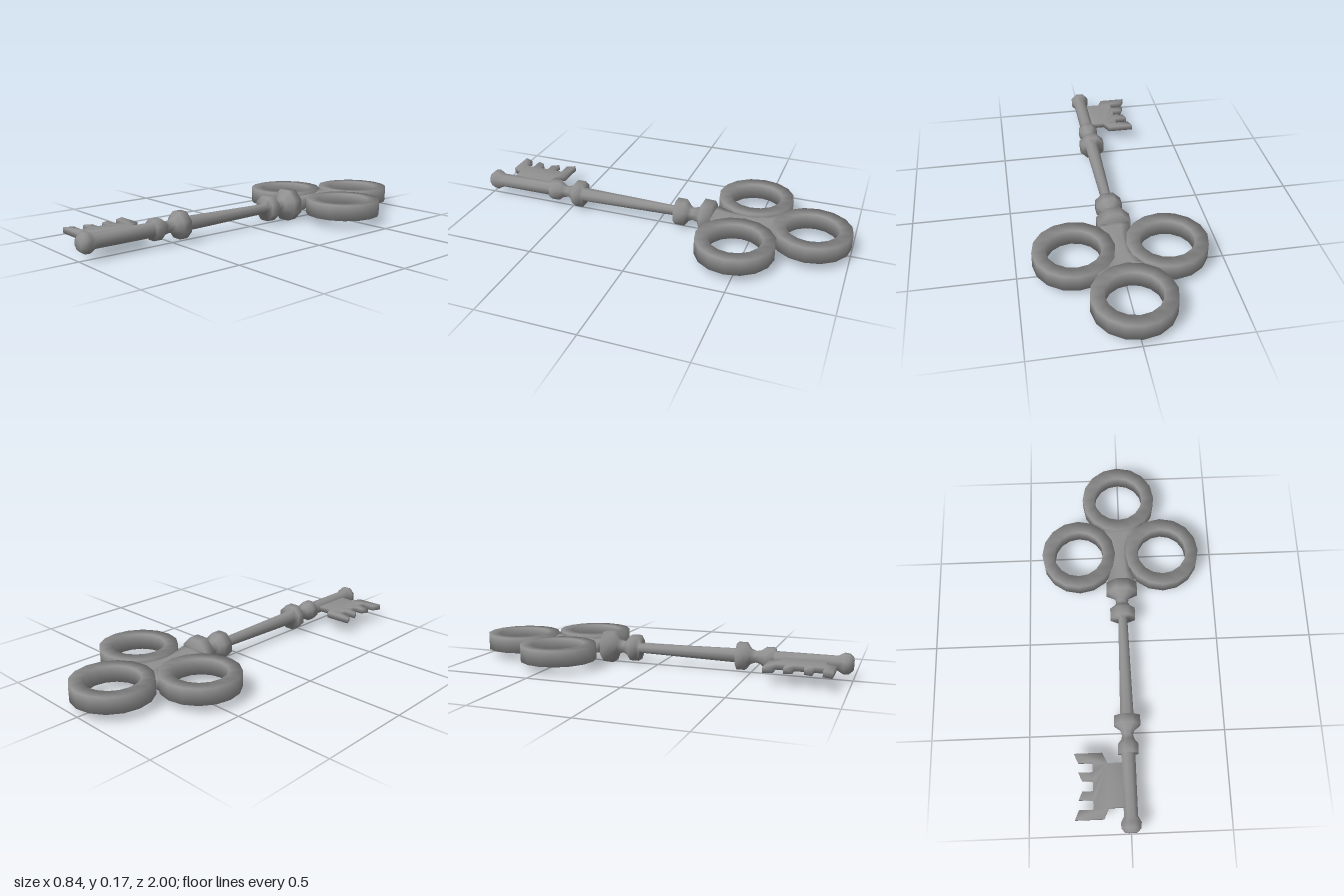
import * as THREE from 'three';
import { mergeVertices } from 'three/addons/utils/BufferGeometryUtils.js';

const AXIS_Y = 0.0825;
const material = new THREE.MeshStandardMaterial({ color: 0x909090 });

// Welds a geometry so its normals run smoothly across every edge
function smooth(source) {
  source.deleteAttribute('uv');
  source.deleteAttribute('normal');
  const geometry = mergeVertices(source, 1e-4);
  geometry.computeVertexNormals();
  return geometry;
}

function smoothLathe(points, sides, phase = 0) {
  return smooth(new THREE.LatheGeometry(points.map(p => new THREE.Vector2(...p)), sides, phase));
}

// Octagonal turning along z, flats facing up; profile is [half width, z]
function turned(profile) {
  const k = 1 / Math.cos(Math.PI / 8);
  return smoothLathe(profile.map(([r, z]) => [r * k, z]), 8, Math.PI / 8).rotateX(Math.PI / 2);
}

export function createModel() {
  const key = new THREE.Group();
  key.name = 'key';
  function add(name, geometry, x = 0, z = 0) {
    const mesh = new THREE.Mesh(geometry, material);
    mesh.name = name;
    mesh.position.set(x, AXIS_Y, z);
    key.add(mesh);
  }

  // Shaft with its collars, from the bow to the tip
  add('shaft', turned([
    [0, -0.3], [0.08, -0.3], [0.0825, -0.245], [0.037, -0.22], [0.029, -0.19],
    [0.04, -0.17], [0.065, -0.15], [0.065, -0.1], [0.024, -0.1], [0.034, 0.43],
    [0.066, 0.43], [0.066, 0.475], [0.036, 0.5], [0.027, 0.525], [0.033, 0.55],
    [0.051, 0.575], [0.051, 0.62], [0.034, 0.62], [0.034, 0.925],
    [0.05, 0.955], [0.047, 0.98], [0.03, 1], [0, 1],
  ]));

  // Three rings of the bow
  const ring = smoothLathe([
    [0.197, -0.041], [0.197, 0.041], [0.132, 0.041], [0.132, -0.041], [0.197, -0.041],
  ], 16);
  add('backRing', ring, 0, -0.803);
  add('leftRing', ring, 0.225, -0.47);
  add('rightRing', ring, -0.225, -0.47);

  // Waisted stem filling the gap between the rings, lower than they are
  const stem = turned([
    [0, -0.65], [0.14, -0.65], [0.09, -0.59], [0.05, -0.52],
    [0.045, -0.45], [0.055, -0.37], [0.07, -0.32], [0.07, -0.29], [0, -0.29],
  ]);
  const pos = stem.attributes.position;
  for (let i = 0; i < pos.count; i++) {
    pos.setY(i, THREE.MathUtils.clamp(pos.getY(i), -0.028, 0.028));
  }
  stem.computeVertexNormals();
  add('bowStem', stem);

  // Toothed bit: half outline in x and distance from its middle, then mirrored
  const middle = 0.773;
  const half = [
    [0, 0.108], [-0.105, 0.108], [-0.13, 0.16], [-0.27, 0.16], [-0.25, 0.114],
    [-0.18, 0.114], [-0.18, 0.066], [-0.25, 0.066], [-0.232, 0.026], [-0.18, 0.026],
  ];
  const outline = [
    ...half.map(([x, d]) => new THREE.Vector2(x, middle - d)),
    ...half.slice().reverse().map(([x, d]) => new THREE.Vector2(x, middle + d)),
  ];
  const bit = new THREE.ExtrudeGeometry(new THREE.Shape(outline), { depth: 0.029, bevelEnabled: false });
  add('bit', smooth(bit.translate(0, 0, -0.0145).rotateX(Math.PI / 2)));

  return key;
}
